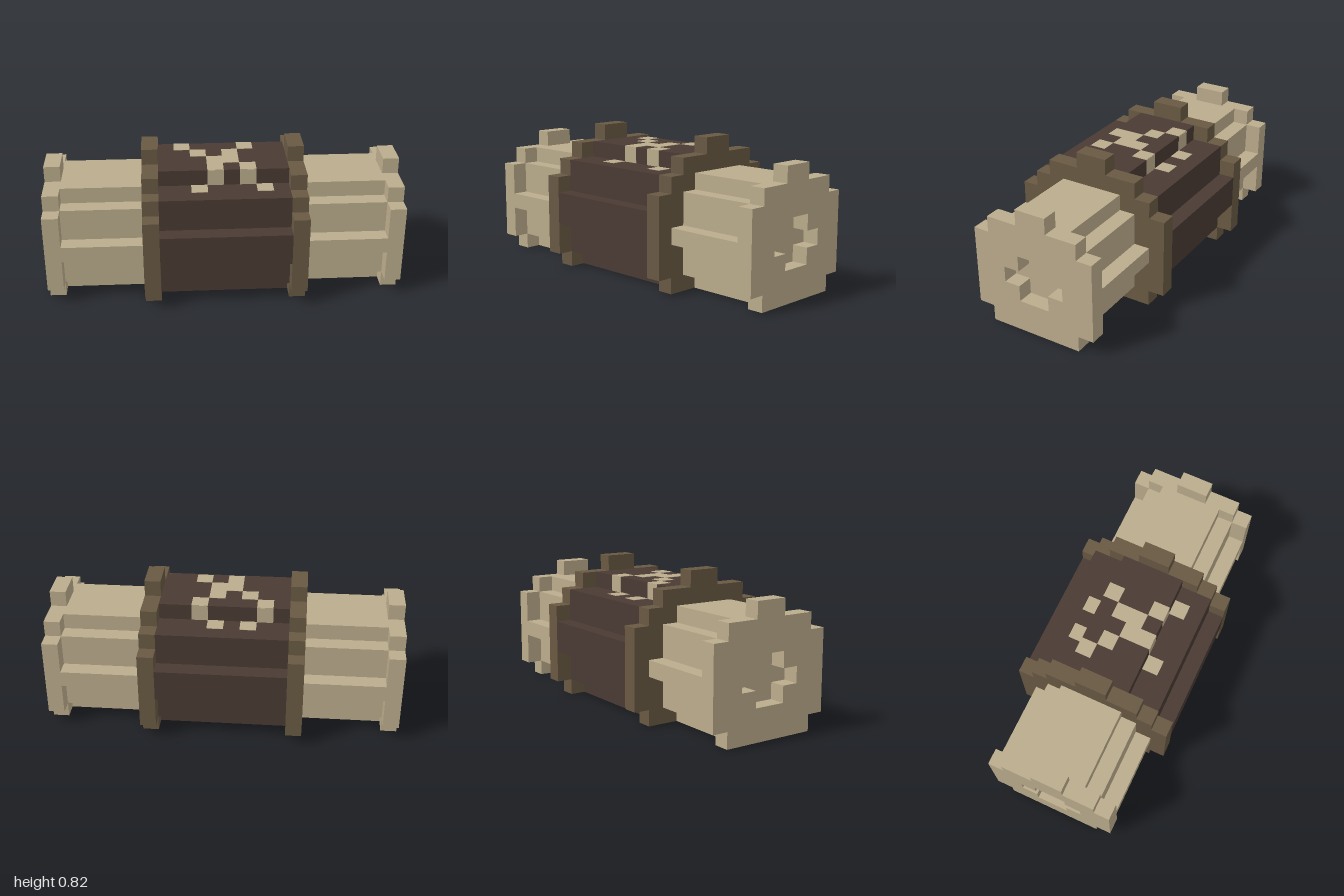
import * as THREE from 'three';

const U = 1 / 11; // block size: the model is 22 blocks long

// Outline points from half-widths listed row by row, starting at row y0
function outline(halfWidths, y0 = 0) {
  const right = [];
  halfWidths.forEach((w, i) => {
    if (w !== halfWidths[i - 1]) {
      if (i > 0) right.push([halfWidths[i - 1], y0 + i]);
      right.push([w, y0 + i]);
    }
  });
  right.push([halfWidths[halfWidths.length - 1], y0 + halfWidths.length]);
  const left = right.map(([x, y]) => [-x, y]).reverse();
  return [...right, ...left].map(([x, y]) => new THREE.Vector2(x * U, y * U));
}

// Stepped prism running along x from block x0 to block x1
function prism(name, material, halfWidths, x0, x1, hole) {
  const shape = new THREE.Shape(outline(halfWidths));
  if (hole) shape.holes.push(new THREE.Path(outline(hole, 2).reverse()));
  const geometry = new THREE.ExtrudeGeometry(shape, { depth: (x1 - x0) * U, bevelEnabled: false });
  geometry.rotateY(Math.PI / 2);
  geometry.translate(x0 * U, 0, 0);
  const mesh = new THREE.Mesh(geometry, material);
  mesh.name = name;
  return mesh;
}

export function createModel() {
  const make = (name, color) => {
    const m = new THREE.MeshStandardMaterial({ color });
    m.name = name;
    return m;
  };
  const tan = make('tan', 0xbbac8c);
  const brown = make('brown', 0x695943);
  const dark = make('darkBrown', 0x4a3a33);

  const model = new THREE.Group();
  model.name = 'barrel';

  // Dark middle body
  model.add(prism('middleBody', dark, [3, 4, 4, 5, 5, 4, 4, 2], -4, 4));

  // Rings, shafts and end flanges, mirrored to both sides
  const part = (name, mat, profile, a, b, side, hole) =>
    model.add(prism((side > 0 ? 'left' : 'right') + name, mat, profile,
      side > 0 ? a : -b, side > 0 ? b : -a, hole));
  for (const side of [1, -1]) {
    part('Ring', brown, [4, 5, 5, 5, 5, 5, 4, 3, 1], 4, 5, side);
    part('Shaft', tan, [2, 3, 3, 4, 3, 3, 2], 5, 10, side);
    part('EndFlange', tan, [3, 4, 4, 4, 4, 4, 3, 1], 10, 11, side, [1, 2, 1]);
  }

  // Painted pattern on top: block columns for each z row
  const pattern = { '-3': [-2, 0], '-2': [-3, 1], '-1': [-2, 0], 0: [-1, 0], 1: [-1, 1], 2: [-2, 2] };
  const marks = new THREE.Group();
  marks.name = 'topPattern';
  const T = 0.004;
  const plate = (w, h, d, x, y, z) => {
    const mesh = new THREE.Mesh(new THREE.BoxGeometry(w, h, d), tan);
    mesh.position.set(x, y, z);
    mesh.name = 'patternPlate';
    marks.add(mesh);
  };
  for (const [key, columns] of Object.entries(pattern)) {
    const z = Number(key);
    const top = z === -3 || z === 2 ? 7 : 8; // outer rows lie on the lower step
    for (const x of columns) {
      plate(U, T, U, (x + 0.5) * U, top * U, (z + 0.5) * U);
      // Marks at the edge of the raised strip also cover its side
      if (z === 1) plate(U, U, T, (x + 0.5) * U, 7.5 * U, 2 * U);
      if (z === -2) plate(U, U, T, (x + 0.5) * U, 7.5 * U, -2 * U);
    }
  }
  model.add(marks);
  return model;
}
